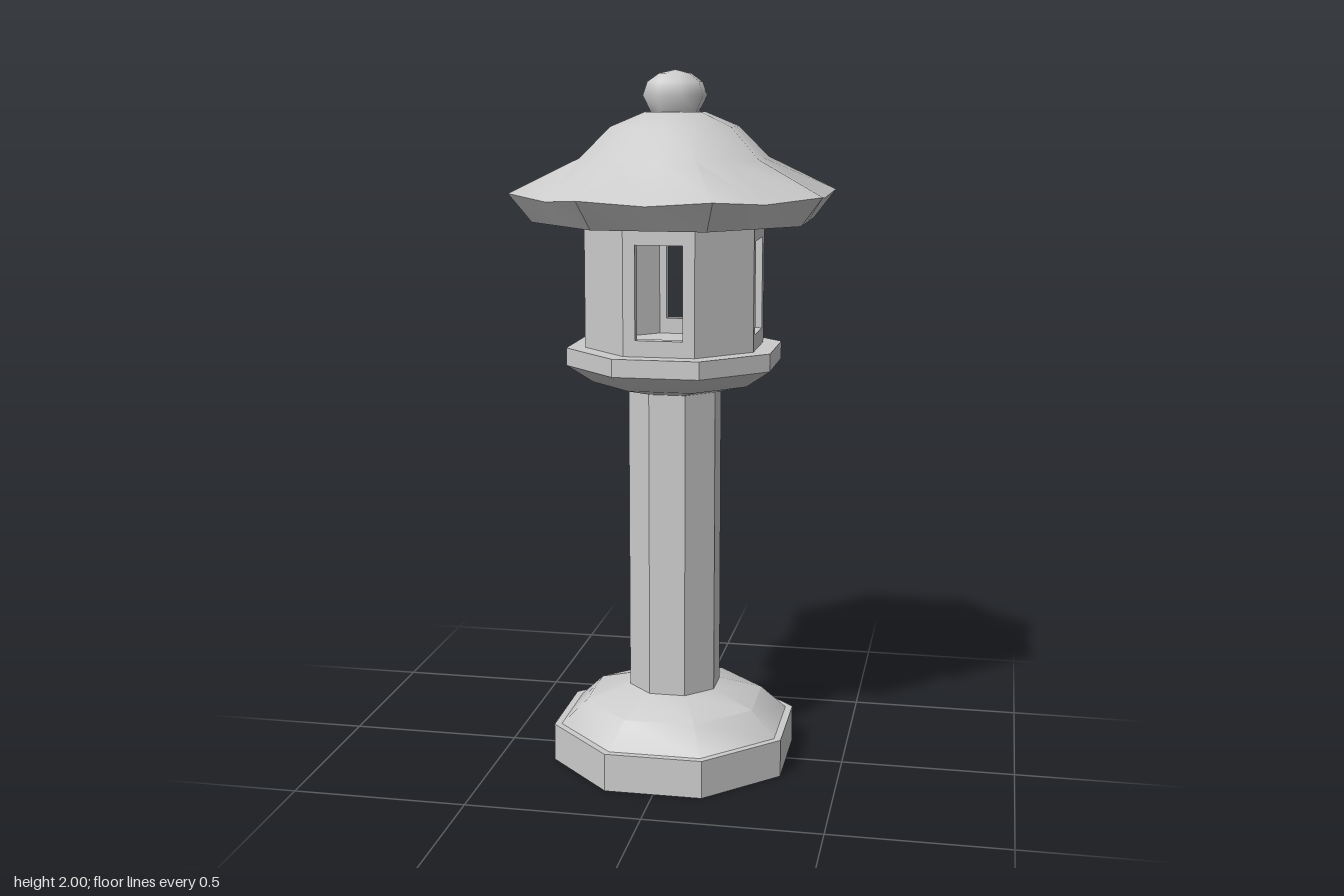
import * as THREE from 'three';
import { toCreasedNormals } from 'three/addons/utils/BufferGeometryUtils.js';

const SIDES = 8;
const HALF = Math.PI / SIDES;
const stone = new THREE.MeshStandardMaterial({ color: 0xcccccc, side: THREE.DoubleSide });

// Octagonal solid from a bottom-to-top profile of [distance to flat, height]
function octagon(profile, segments = SIDES) {
  const points = profile.map(([a, y]) => new THREE.Vector2(a / Math.cos(HALF), y));
  return new THREE.LatheGeometry(points, segments, HALF);
}

function addPart(group, name, geometry, crease = 0.593) {
  const mesh = new THREE.Mesh(toCreasedNormals(geometry, crease), stone);
  mesh.name = name;
  group.add(mesh);
  return mesh;
}

// Roof with corners swept out and up; every second column is an edge middle
function roofGeometry() {
  const profile = [
    [0, 1.585], [0.375, 1.585], [0.435, 1.665], [0.25, 1.76],
    [0.17, 1.845], [0.08, 1.885], [0, 1.885],
  ];
  const geometry = octagon(profile, SIDES * 2);
  const pos = geometry.attributes.position;
  for (let column = 1; column < SIDES * 2; column += 2) {
    for (let ring = 0; ring < profile.length; ring++) {
      const i = column * profile.length + ring;
      const eave = ring === 2;
      const s = Math.cos(HALF) * (eave ? 0.97 : 1);
      pos.setXYZ(i, pos.getX(i) * s, pos.getY(i) - (eave ? 0.013 : 0), pos.getZ(i) * s);
    }
  }
  return geometry;
}

// One wall of the lantern room, its outer face at distance 0.24
function wallGeometry(hasWindow) {
  const w = 0.24 * Math.tan(HALF), bottom = 1.23, top = 1.585, depth = 0.03;
  const rect = (Type, x, y0, y1) => new Type([
    new THREE.Vector2(-x, y0), new THREE.Vector2(x, y0),
    new THREE.Vector2(x, y1), new THREE.Vector2(-x, y1),
  ]);
  const shape = rect(THREE.Shape, w, bottom, top);
  if (hasWindow) shape.holes.push(rect(THREE.Path, 0.066, 1.275, 1.535));
  return new THREE.ExtrudeGeometry(shape, { depth, bevelEnabled: false })
    .translate(0, 0, 0.24 - depth);
}

export function createModel() {
  const group = new THREE.Group();
  group.name = 'stoneLantern';

  // Hollow foot, open underneath
  addPart(group, 'base', octagon([
    [0.335, 0], [0.335, 0.11], [0.315, 0.11], [0.245, 0.18], [0.125, 0.22],
  ]));
  addPart(group, 'post', octagon([[0.125, 0.22], [0.125, 1.105]]));
  addPart(group, 'platform', octagon([
    [0, 1.105], [0.125, 1.105], [0.22, 1.13], [0.29, 1.18], [0.29, 1.23], [0, 1.23],
  ]));

  // Lantern room: windows alternate with solid walls
  const room = new THREE.Group();
  room.name = 'lanternRoom';
  for (let i = 0; i < SIDES; i++) {
    const open = i % 2 === 0;
    const wall = addPart(room, open ? 'windowWall' : 'solidWall', wallGeometry(open));
    wall.rotation.y = i * HALF * 2;
  }
  group.add(room);

  addPart(group, 'roof', roofGeometry());
  addPart(group, 'finial', octagon([
    [0.062, 1.88], [0.085, 1.93], [0.073, 1.967], [0.042, 1.99], [0, 2],
  ]), 1.2);

  return group;
}
